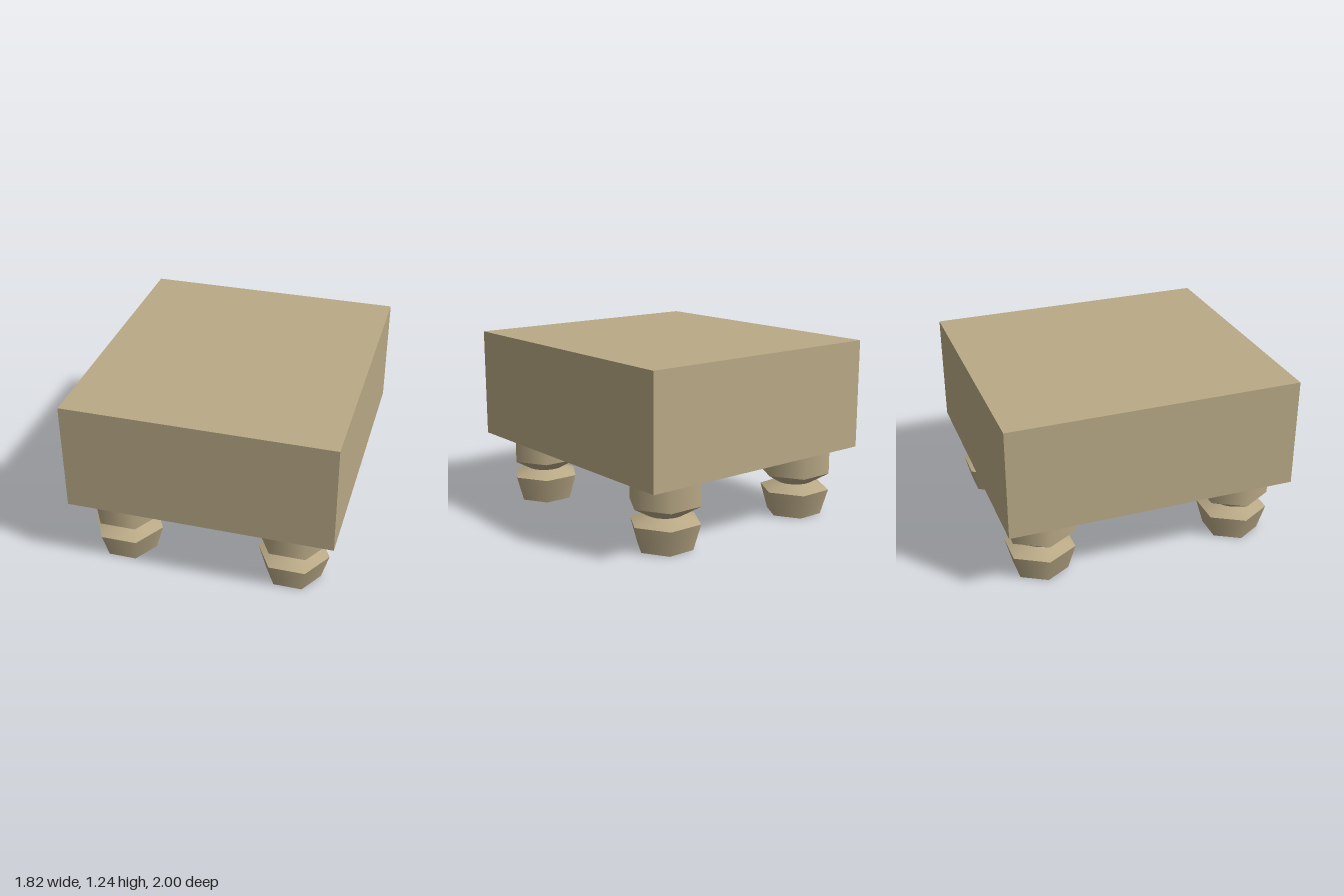
import * as THREE from 'three';

const SIXTH = Math.PI / 3;

// Radius factor that turns a circle into a hexagon with corners on the x axis
function hexFactor(x, z) {
  const a = ((Math.atan2(z, x) % SIXTH) + SIXTH) % SIXTH;
  return Math.cos(SIXTH / 2) / Math.cos(a - SIXTH / 2);
}

// One band of a leg; a ring is a hexagon unless it is the round waist
function band(y0, r0, y1, r1, hex0, hex1, capped) {
  const h = y1 - y0;
  const sides = hex0 && hex1 ? 6 : 24;
  const geo = new THREE.CylinderGeometry(r1, r0, h, sides, 1, !capped, Math.PI / 2);
  if (sides === 24) {
    const p = geo.attributes.position;
    for (let i = 0; i < p.count; i++) {
      const isHex = p.getY(i) > 0 ? hex1 : hex0;
      if (!isHex) continue;
      const f = hexFactor(p.getX(i), p.getZ(i));
      p.setX(i, p.getX(i) * f);
      p.setZ(i, p.getZ(i) * f);
    }
  }
  geo.translate(0, y0 + h / 2, 0);
  return geo;
}

export function createModel() {
  const model = new THREE.Group();
  model.name = 'footstool';
  const tan = new THREE.MeshStandardMaterial({ color: 0xb9a986 });
  tan.name = 'tan';

  // Thick square-edged seat
  const seat = new THREE.Mesh(new THREE.BoxGeometry(1.82, 0.76, 2), tan);
  seat.name = 'seat';
  seat.position.y = 0.86;
  model.add(seat);

  // Hexagonal legs, tapered at the foot and pinched at the waist
  const parts = [
    ['foot', band(0, 0.195, 0.18, 0.248, true, true, true)],
    ['lowerCollar', band(0.18, 0.248, 0.23, 0.126, true, false, false)],
    ['upperCollar', band(0.23, 0.126, 0.3, 0.248, false, true, false)],
    ['legBlock', band(0.3, 0.248, 0.48, 0.248, true, true, false)],
  ];
  for (const [sz, end] of [[1, 'front'], [-1, 'back']]) {
    for (const [sx, side] of [[1, 'Left'], [-1, 'Right']]) {
      const leg = new THREE.Group();
      leg.name = `${end}${side}Leg`;
      for (const [name, geo] of parts) {
        const mesh = new THREE.Mesh(geo, tan);
        mesh.name = name;
        leg.add(mesh);
      }
      leg.position.set(sx * 0.593, 0, sz * 0.715);
      model.add(leg);
    }
  }
  return model;
}
